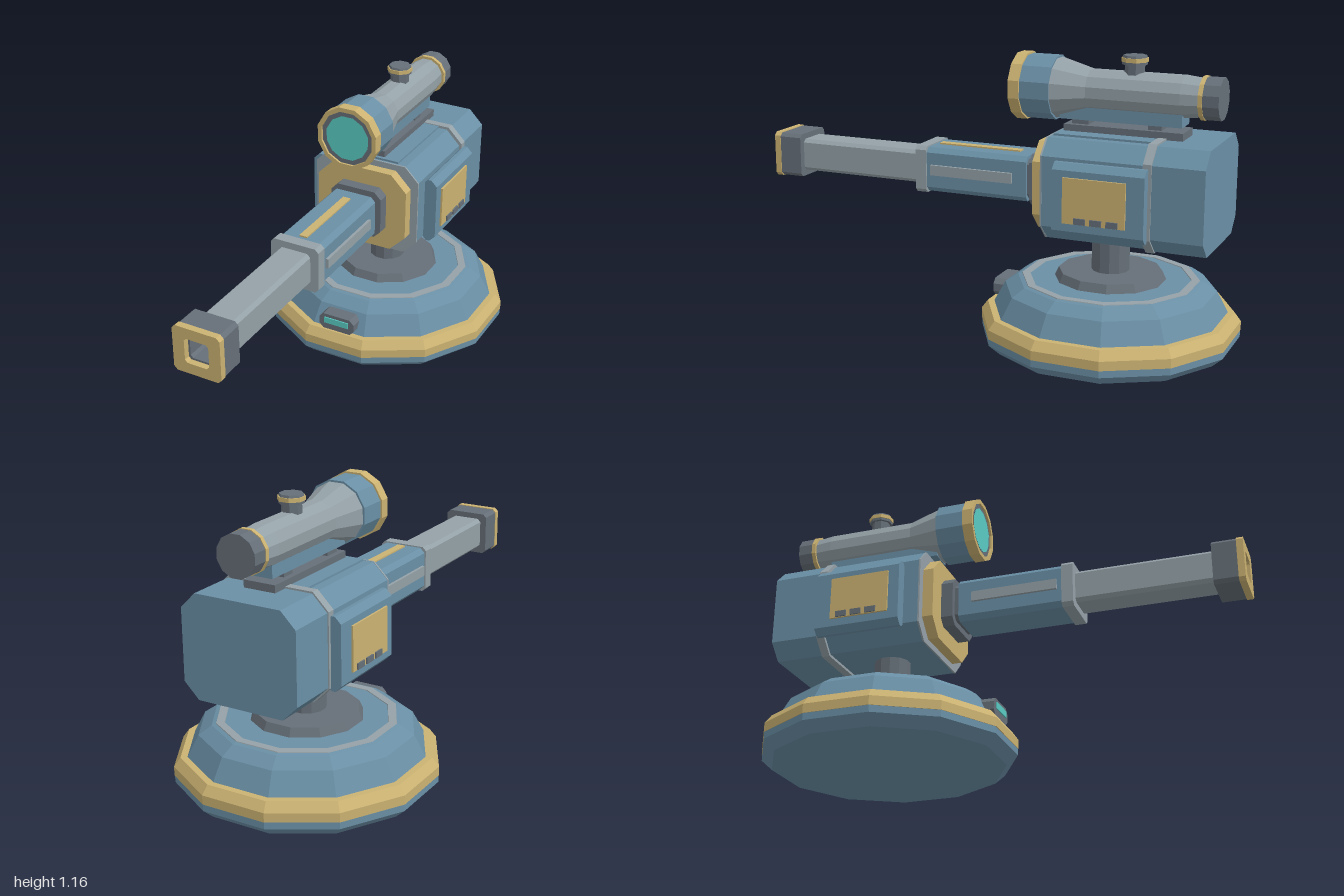
import * as THREE from 'three';

const mat = (name, color) => {
  const m = new THREE.MeshStandardMaterial({ color, flatShading: true });
  m.name = name;
  return m;
};

export function createModel() {
  const blue = mat('steel blue', 0x6a8fa5);
  const gold = mat('sand gold', 0xcbb272);
  const light = mat('light grey', 0x94a1a7);
  const dark = mat('dark grey', 0x666f78);
  const cyan = mat('cyan glow', 0x5accc4);

  const model = new THREE.Group();
  model.name = 'turret';
  const AXIS = 0.652;   // height of the barrel axis
  const SCOPE = 1.017;  // height of the scope axis
  const BASE_Z = -0.497;

  const add = (name, geo, material, x = 0, y = 0, z = 0, parent = model) => {
    const mesh = new THREE.Mesh(geo, material);
    mesh.name = name;
    mesh.position.set(x, y, z);
    parent.add(mesh);
    return mesh;
  };

  // Rectangle with cut corners, given half sizes
  const outline = (w, h, c, T = THREE.Shape) => {
    const s = new T();
    const pts = [[w, -h + c], [w, h - c], [w - c, h], [-w + c, h], [-w, h - c], [-w, -h + c], [-w + c, -h], [w - c, -h]];
    s.setFromPoints(pts.map(([x, y]) => new THREE.Vector2(x, y)));
    return s;
  };
  // Cut-corner prism running from z0 to z1, optionally with a square bore
  const prism = (name, material, w, h, c, z0, z1, x = 0, y = AXIS, bore = 0, parent = model) => {
    const shape = outline(w, h, c);
    if (bore) shape.holes.push(outline(bore, bore, 0.01, THREE.Path));
    const geo = new THREE.ExtrudeGeometry(shape, { depth: z1 - z0, bevelEnabled: false });
    return add(name, geo, material, x, y, z0, parent);
  };
  // Box between limits
  const box = (name, material, x0, x1, y0, y1, z0, z1, parent = model) =>
    add(name, new THREE.BoxGeometry(x1 - x0, y1 - y0, z1 - z0), material,
      (x0 + x1) / 2, (y0 + y1) / 2, (z0 + z1) / 2, parent);
  // Faceted turned part; radii are measured to the flats
  const turned = (pts, sides = 12) => {
    const k = 1 / Math.cos(Math.PI / sides);
    return new THREE.LatheGeometry(pts.map(([r, y]) => new THREE.Vector2(r * k, y)), sides)
      .rotateY(Math.PI / sides);
  };

  // Base
  const base = new THREE.Group();
  base.name = 'base';
  model.add(base);
  const ring = (name, material, pts) => add(name, turned(pts), material, 0, 0, BASE_Z, base);
  ring('baseFoot', blue, [[0, 0], [0.46, 0], [0.503, 0.04], [0.503, 0.068]]);
  ring('baseGoldBand', gold, [[0.45, 0.068], [0.505, 0.068], [0.505, 0.105], [0.48, 0.14], [0.44, 0.14]]);
  ring('baseDome', blue, [[0.455, 0.138], [0.41, 0.225], [0.36, 0.26], [0.345, 0.264], [0, 0.264]]);
  ring('baseTopRing', light, [[0.345, 0.262], [0.343, 0.267], [0.312, 0.267], [0.31, 0.262]]);
  ring('turntable', dark, [[0.216, 0.262], [0.2, 0.298], [0, 0.298]]);
  ring('column', dark, [[0.073, 0.29], [0.073, 0.47]]);

  // Status light on the base
  prism('statusHousing', dark, 0.083, 0.036, 0.02, -0.13, -0.021, 0, 0.18, 0, base);
  box('statusLight', cyan, -0.057, 0.057, 0.174, 0.201, -0.025, -0.016, base);

  // Main body
  prism('body', blue, 0.237, 0.2, 0.062, -0.70, -0.292);
  prism('bodyFrontCap', light, 0.238, 0.201, 0.062, -0.292, -0.285);
  prism('bodyFrame', light, 0.248, 0.211, 0.065, -0.732, -0.698);
  prism('rearBlock', blue, 0.243, 0.204, 0.062, -0.935, -0.73);
  prism('frontPlate', gold, 0.205, 0.175, 0.07, -0.287, -0.24);
  prism('barrelCollar', dark, 0.115, 0.105, 0.03, -0.242, -0.19);
  prism('barrelNeck', dark, 0.09, 0.08, 0.02, -0.20, -0.16);
  box('topPlate', blue, -0.137, 0.137, 0.845, 0.86, -0.70, -0.30);

  // Side pods with access panels and vents
  for (const s of [1, -1]) {
    const pod = new THREE.Group();
    pod.name = s > 0 ? 'leftPod' : 'rightPod';
    model.add(pod);
    prism('podCase', blue, 0.033, 0.143, 0.025, -0.72, -0.355, s * 0.258, 0.638, 0, pod);
    const panel = add('accessPanel', new THREE.BoxGeometry(0.009, 0.178, 0.25), gold, s * 0.2945, 0.641, -0.525, pod);
    for (let i = 0; i < 3; i++) {
      add('vent', new THREE.BoxGeometry(0.009, 0.024, 0.046), dark, s * 0.006, -0.075, 0.053 - i * 0.064, panel);
    }
  }

  // Barrel
  prism('barrelHousing', blue, 0.1, 0.092, 0.02, -0.17, 0.275);
  box('housingTopStripe', gold, -0.017, 0.017, 0.742, 0.75, -0.11, 0.25);
  for (const s of [1, -1]) {
    add('housingSideStrip', new THREE.BoxGeometry(0.02, 0.042, 0.36), light, s * 0.102, 0.654, 0.07);
  }
  prism('barrelClamp', light, 0.106, 0.097, 0.015, 0.27, 0.318);
  prism('barrel', light, 0.07, 0.068, 0.014, 0.31, 0.88);
  prism('muzzle', dark, 0.098, 0.092, 0.014, 0.875, 0.975, 0, AXIS, 0.043);
  prism('muzzleRim', gold, 0.1, 0.095, 0.014, 0.973, 1.0, 0, AXIS, 0.051);
  box('boreEnd', dark, -0.045, 0.045, AXIS - 0.045, AXIS + 0.045, 0.878, 0.884);

  // Scope mount
  box('scopeRail', dark, -0.067, 0.067, 0.855, 0.886, -0.795, -0.315);
  box('scopeFootFront', dark, -0.045, 0.045, 0.88, 0.91, -0.41, -0.34);
  box('scopeFootRear', dark, -0.045, 0.045, 0.88, 0.91, -0.705, -0.65);
  box('scopeCradle', blue, -0.05, 0.05, 0.903, 0.955, -0.785, -0.29);

  // Scope
  const scope = new THREE.Group();
  scope.name = 'scope';
  scope.position.y = SCOPE;
  model.add(scope);
  const optic = (name, material, pts) =>
    add(name, turned(pts).rotateX(Math.PI / 2), material, 0, 0, 0, scope);
  optic('eyepiece', dark, [[0, -0.93], [0.08, -0.93], [0.08, -0.866], [0.06, -0.866]]);
  optic('eyepieceRing', gold, [[0.06, -0.867], [0.083, -0.867], [0.083, -0.85], [0.06, -0.85]]);
  optic('scopeTube', light, [[0.072, -0.855], [0.08, -0.78], [0.08, -0.405], [0.118, -0.265]]);
  optic('scopeHood', blue, [[0.1, -0.27], [0.124, -0.27], [0.124, -0.145]]);
  optic('scopeRim', gold, [[0.115, -0.148], [0.131, -0.148], [0.131, -0.103], [0.113, -0.103], [0.113, -0.13]]);
  optic('lensRing', dark, [[0.113, -0.112], [0.09, -0.112]]);
  optic('lens', cyan, [[0.093, -0.109], [0, -0.109]]);

  // Adjustment knob on top of the scope
  const knob = (name, material, pts) => add(name, turned(pts, 8), material, 0, 0, -0.578);
  knob('knobStem', dark, [[0.036, 1.08], [0.036, 1.127], [0.046, 1.127], [0.046, 1.14]]);
  knob('knobBand', gold, [[0.03, 1.138], [0.049, 1.138], [0.049, 1.154], [0.03, 1.154]]);
  knob('knobCap', dark, [[0.046, 1.15], [0.042, 1.163], [0, 1.163]]);

  return model;
}
